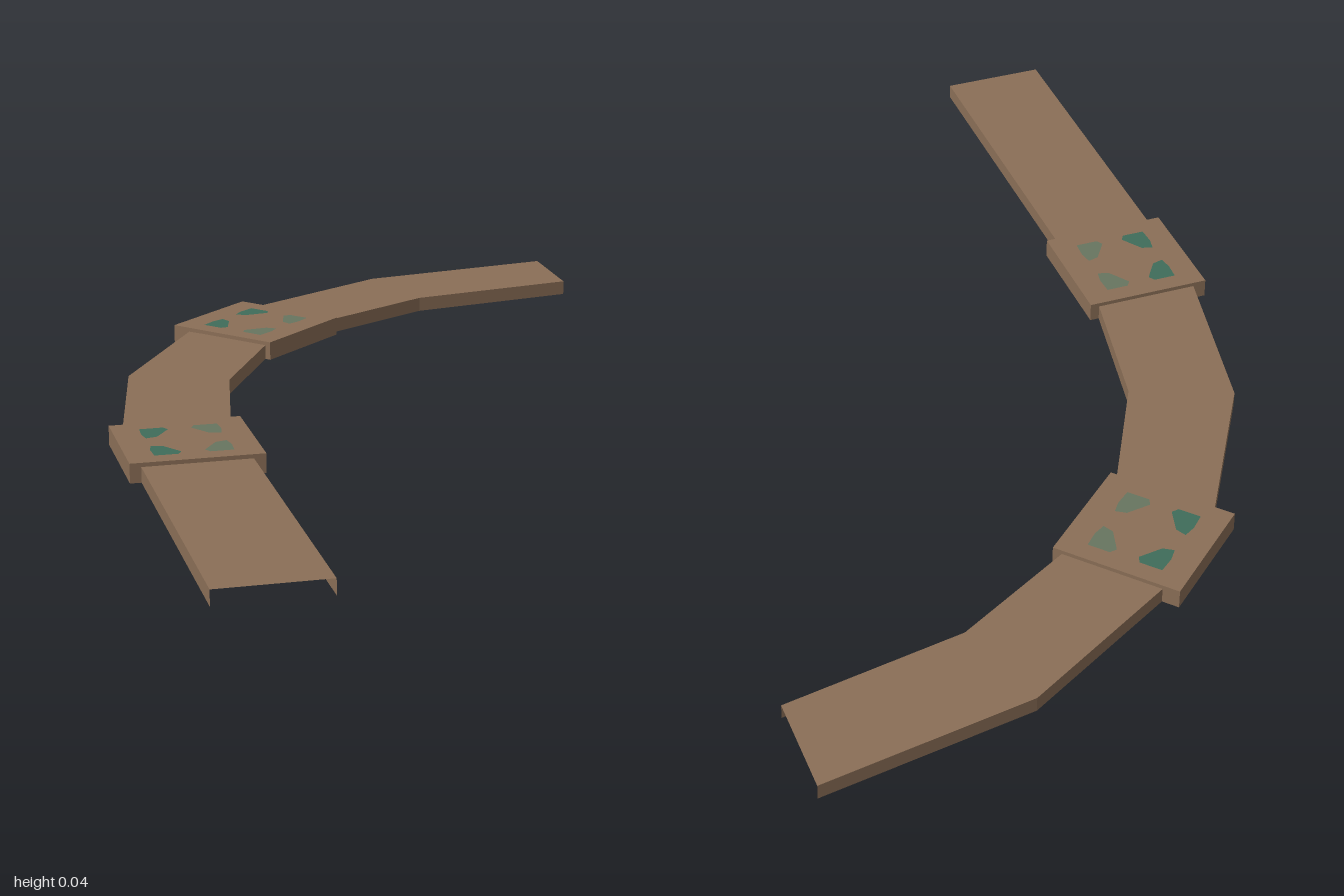
import * as THREE from 'three';

const material = (name, color) => {
  const m = new THREE.MeshStandardMaterial({ color, side: THREE.DoubleSide });
  m.name = name;
  return m;
};

// Open-bottomed channel: flat deck and two side skirts between two edge lines of [x, z] points
function channelGeometry(outer, inner, h) {
  const pos = [];
  const quad = (a, b, c, d) => pos.push(...a, ...b, ...c, ...a, ...c, ...d);
  const at = ([x, z], y) => [x, y, z];
  for (let i = 0; i < outer.length - 1; i++) {
    const [o0, o1, i0, i1] = [outer[i], outer[i + 1], inner[i], inner[i + 1]];
    quad(at(o0, h), at(i0, h), at(i1, h), at(o1, h));
    quad(at(o0, 0), at(o0, h), at(o1, h), at(o1, 0));
    quad(at(i0, h), at(i0, 0), at(i1, 0), at(i1, h));
  }
  const g = new THREE.BufferGeometry();
  g.setAttribute('position', new THREE.Float32BufferAttribute(pos, 3));
  g.computeVertexNormals();
  return g;
}

export function createModel() {
  const model = new THREE.Group();
  model.name = 'curvedWalkway';
  const brown = material('brown', 0x8b6f57);
  const green = material('green', 0x3f6d5a);
  const paleGreen = material('paleGreen', 0x677560);

  const add = (parent, name, geometry, mat) => {
    const mesh = new THREE.Mesh(geometry, mat);
    mesh.name = name;
    parent.add(mesh);
    return mesh;
  };

  // Walkway sections
  const sections = {
    straightSection: [
      [[-0.575, 1], [-0.575, 0.337]],
      [[-0.365, 1], [-0.365, 0.337]],
    ],
    middleSection: [
      [[-0.57, 0.093], [-0.5, -0.265], [-0.318, -0.575]],
      [[-0.36, 0.093], [-0.307, -0.188], [-0.178, -0.435]],
    ],
    endSection: [
      [[-0.14, -0.745], [0.175, -0.93], [0.595, -1]],
      [[-0.012, -0.59], [0.235, -0.732], [0.595, -0.797]],
    ],
  };
  for (const [name, [outer, inner]] of Object.entries(sections)) {
    add(model, name, channelGeometry(outer, inner, 0.03), brown);
  }

  // Joint covers: open-bottomed square caps with four inlaid corner patches
  const W = 0.255, D = 0.245, H = 0.038;
  const patch = [[0.075, 0.085], [0.03, 0.085], [0.022, 0.072], [0.05, 0.03], [0.072, 0.024], [0.077, 0.05]];
  const flat = (shape) => new THREE.ShapeGeometry(shape).rotateX(-Math.PI / 2).translate(0, H, 0);

  function jointCover(name, x, z, angle) {
    const joint = new THREE.Group();
    joint.name = name;
    const top = new THREE.Shape([
      [-W / 2, -D / 2], [W / 2, -D / 2], [W / 2, D / 2], [-W / 2, D / 2],
    ].map(([a, b]) => new THREE.Vector2(a, b)));
    for (const sx of [-1, 1]) {
      for (const sz of [-1, 1]) {
        const points = patch.map(([a, b]) => new THREE.Vector2(a * sx, b * sz));
        top.holes.push(new THREE.Path(points));
        add(joint, 'cornerPatch', flat(new THREE.Shape(points)), sx < 0 ? green : paleGreen);
      }
    }
    add(joint, 'coverTop', flat(top), brown);
    // Skirt walls on all four sides
    for (let i = 0; i < 4; i++) {
      const [width, offset] = i % 2 ? [D, W / 2] : [W, D / 2];
      const wall = new THREE.PlaneGeometry(width, H).translate(0, H / 2, offset);
      add(joint, 'coverSide', wall.rotateY((i * Math.PI) / 2), brown);
    }
    joint.position.set(x, 0, z);
    joint.rotation.y = angle;
    model.add(joint);
  }
  jointCover('frontJoint', -0.469, 0.215, 0);
  jointCover('backJoint', -0.168, -0.594, -0.84);

  return model;
}
